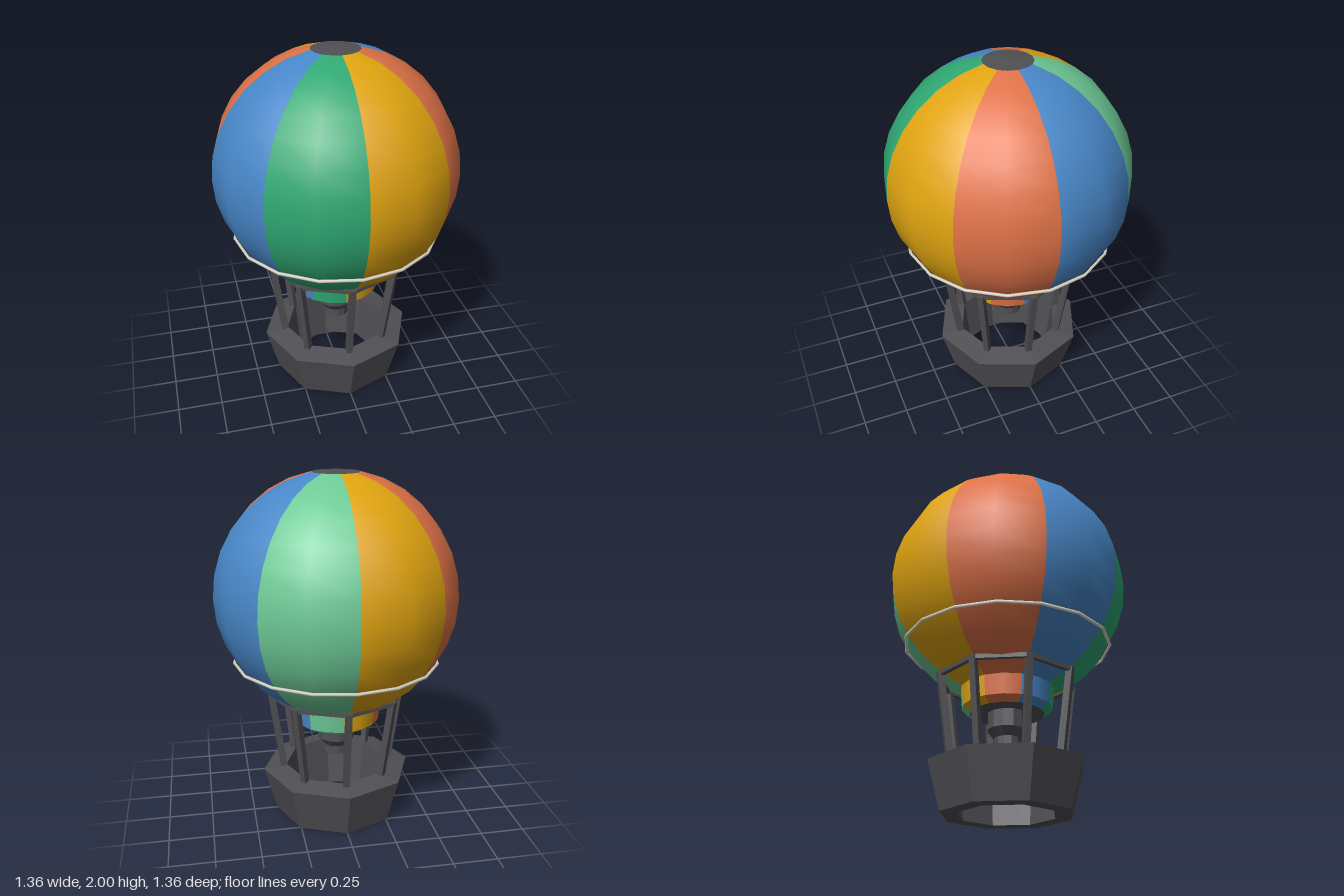
import * as THREE from 'three';

const mat = (name, color) => {
  const m = new THREE.MeshStandardMaterial({ color });
  m.name = name;
  return m;
};

export function createModel() {
  const yellow = mat('yellow', 0xe0a410);
  const orange = mat('orange', 0xdf7247);
  const blue = mat('blue', 0x4887c8);
  const mint = mat('light green', 0x6dc996);
  const green = mat('green', 0x2fa873);
  const grey = mat('dark grey', 0x504f53);
  const ivory = mat('ivory', 0xd8d3c4);

  const model = new THREE.Group();
  model.name = 'hotAirBalloon';

  const add = (name, geometry, material, parent = model) => {
    const mesh = new THREE.Mesh(geometry, material);
    mesh.name = name;
    parent.add(mesh);
    return mesh;
  };
  // Revolved profile, points listed bottom to top on the outside
  const lathe = (pts, sides, start = 0, length = Math.PI * 2) =>
    new THREE.LatheGeometry(pts.map(([r, y]) => new THREE.Vector2(r, y)), sides, start, length);
  const flat = (geometry) => {
    const g = geometry.toNonIndexed();
    g.computeVertexNormals();
    return g;
  };

  // Envelope: sphere of 16 stacks, cut open at the bottom and capped on top
  const R = 0.68, CY = 1.32, STACKS = 16;
  const stack = (i) => {
    const a = (i / STACKS) * Math.PI;
    return [R * Math.sin(a), CY - R * Math.cos(a)];
  };
  const sphere = [];
  for (let i = 2; i <= STACKS - 1; i++) sphere.push(stack(i));
  const neck = stack(2);
  const bands = {
    gore: sphere,
    skirt: [[0.25, 0.58], neck],
    skirtHem: [[0.205, 0.55], [0.25, 0.58]],
  };
  const goreColours = [yellow, orange, blue, mint, yellow, orange, blue, green];
  const envelope = new THREE.Group();
  envelope.name = 'envelope';
  model.add(envelope);
  goreColours.forEach((colour, i) => {
    for (const [name, pts] of Object.entries(bands)) {
      add(name, lathe(pts, 2, (i * Math.PI) / 4, Math.PI / 4), colour, envelope);
    }
  });
  add('crownCap', lathe([stack(STACKS - 1), [0, CY + R]], 16), grey, envelope);
  add('skirtFloor', lathe([[0, 0.55], [0.205, 0.55]], 16), grey, envelope);

  // Rope hoop around the lower envelope
  const hoop = add('ropeHoop', new THREE.TorusGeometry(0.58, 0.009, 6, 16), ivory);
  hoop.rotation.x = Math.PI / 2;
  hoop.position.y = 0.945;

  // Burner hanging under the skirt
  add('burner', flat(lathe(
    [[0, 0.36], [0.074, 0.36], [0.074, 0.41], [0.109, 0.455], [0.109, 0.55]], 12)), grey);

  // Octagonal basket wall, open through the bottom, with a raised inner rim
  add('basket', flat(lathe(
    [[0.265, 0], [0.36, 0], [0.433, 0.265], [0.3, 0.287], [0.265, 0]], 8)), grey);

  // Octagonal frame carried by the posts
  add('topFrame', flat(lathe(
    [[0.37, 0.733], [0.397, 0.733], [0.397, 0.757], [0.37, 0.757], [0.37, 0.733]], 8)), grey);

  // Eight posts leaning outwards
  const low = new THREE.Vector3(0, 0.27, 0.312);
  const high = new THREE.Vector3(0, 0.755, 0.382);
  const lean = Math.atan2(high.z - low.z, high.y - low.y);
  for (let i = 0; i < 8; i++) {
    const arm = new THREE.Group();
    arm.name = 'postArm';
    arm.rotation.y = (i * Math.PI) / 4;
    model.add(arm);
    const post = add('post', new THREE.BoxGeometry(0.034, low.distanceTo(high), 0.038), grey, arm);
    post.position.addVectors(low, high).multiplyScalar(0.5);
    post.rotation.x = lean;
  }

  return model;
}
